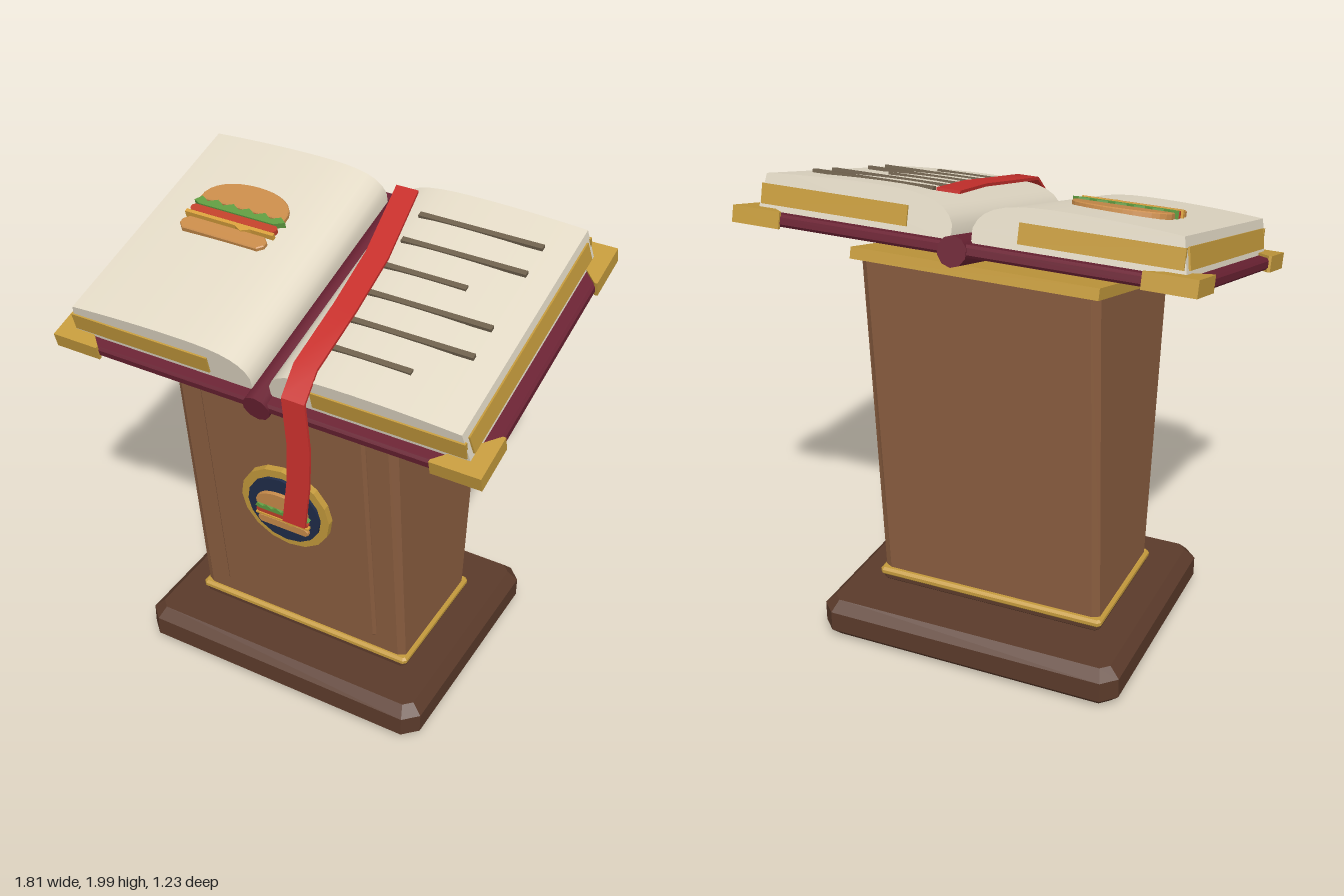
import * as THREE from 'three';
import { toCreasedNormals } from 'three/addons/utils/BufferGeometryUtils.js';

const mat = (color) => new THREE.MeshStandardMaterial({ color, flatShading: false });
const M = {
  darkWood: mat(0x5a3a2a), wood: mat(0x8b5e40), gold: mat(0xc49a3c), cover: mat(0x6a2233),
  page: mat(0xe3dac6), ribbon: mat(0xc8302c), navy: mat(0x202c4a), ink: mat(0x6e604c),
  bun: mat(0xc88b4a), lettuce: mat(0x5f9a40), tomato: mat(0xc0402a), cheese: mat(0xd8a03c),
};

const TILT = 0.27; // slope of the reading top

function add(parent, name, geometry, material, x = 0, y = 0, z = 0) {
  const mesh = new THREE.Mesh(geometry, material);
  mesh.name = name;
  mesh.position.set(x, y, z);
  parent.add(mesh);
  return mesh;
}

const poly = (pts) => new THREE.Shape(pts.map(([x, y]) => new THREE.Vector2(x, y)));

// Rectangle with cut corners
function cutRect(w, h, c) {
  const x = w / 2, y = h / 2;
  return poly([[-x + c, -y], [x - c, -y], [x, -y + c], [x, y - c], [x - c, y], [-x + c, y], [-x, y - c], [-x, -y + c]]);
}

const extrude = (shape, depth, bevel = 0, curveSegments = 8) => new THREE.ExtrudeGeometry(shape, {
  depth: depth - 2 * bevel, bevelEnabled: bevel > 0, bevelSize: bevel, bevelThickness: bevel, bevelSegments: 1, curveSegments,
}).translate(0, 0, bevel);

// Chamfered block standing on y = 0
const slab = (w, h, d, c) => extrude(cutRect(w - 2 * c, d - 2 * c, c * 0.8), h, c).rotateX(-Math.PI / 2);

// Layered sandwich emblem, drawn in xy and raised along z
function emblem() {
  const g = new THREE.Group();
  g.name = 'sandwichEmblem';
  const dome = new THREE.Shape();
  dome.moveTo(-0.19, 0.025);
  dome.bezierCurveTo(-0.2, 0.11, -0.1, 0.15, 0, 0.15);
  dome.bezierCurveTo(0.1, 0.15, 0.2, 0.11, 0.19, 0.025);
  add(g, 'topBun', extrude(dome, 0.028, 0.004), M.bun);
  const zig = [[-0.2, -0.005], [-0.17, -0.018], [0.17, -0.018], [0.21, 0.005]];
  for (let i = 0; i <= 10; i++) zig.push([0.18 - i * 0.036, i % 2 ? 0.005 : 0.026]);
  add(g, 'lettuce', extrude(poly(zig), 0.034), M.lettuce);
  add(g, 'tomato', extrude(cutRect(0.39, 0.036, 0.01), 0.03), M.tomato, 0, -0.038);
  add(g, 'cheese', extrude(poly([[-0.2, -0.076], [0.03, -0.076], [0.065, -0.094], [0.1, -0.076], [0.2, -0.076], [0.2, -0.06], [-0.2, -0.06]]), 0.034), M.cheese);
  add(g, 'bottomBun', extrude(cutRect(0.376, 0.06, 0.02), 0.028, 0.004), M.bun, 0, -0.118);
  return g;
}

function buildStand(root) {
  add(root, 'base', slab(1.31, 0.17, 1.065, 0.042), M.darkWood, 0, 0, -0.0675);
  add(root, 'plinth', slab(0.98, 0.04, 0.58, 0.012), M.darkWood, 0, 0.165, -0.05);
  add(root, 'lowerTrim', slab(1.0, 0.034, 0.6, 0.01), M.gold, 0, 0.193, -0.05);

  // Column flares towards the top and is cut off along the slope
  const col = extrude(cutRect(0.97, 1, 0.03), 1).rotateX(-Math.PI / 2);
  const p = col.attributes.position;
  const { lerp } = THREE.MathUtils;
  for (let i = 0; i < p.count; i++) {
    const t = p.getY(i);
    const z = lerp(lerp(-0.326, -0.416, t), lerp(0.23, 0.378, t), p.getZ(i) + 0.5);
    p.setXYZ(i, p.getX(i), lerp(0.21, 1.56 - 0.277 * z, t), z);
  }
  col.computeVertexNormals();
  add(root, 'column', col, M.wood);

  // Leaning front panel with its medallion
  const front = new THREE.Group();
  front.name = 'frontPanel';
  front.position.set(0, 0.92, 0.314);
  front.rotation.x = 0.12;
  root.add(front);
  add(front, 'panel', extrude(cutRect(0.7, 1.1, 0.005), 0.03, 0.012), M.wood, 0, -0.065, -0.013);
  const disc = (r, h) => new THREE.CylinderGeometry(r, r, h, 16).rotateX(Math.PI / 2);
  const ring = new THREE.Shape().absarc(0, 0, 0.2, 0, Math.PI * 2);
  ring.holes.push(new THREE.Path().absarc(0, 0, 0.16, 0, Math.PI * 2));
  add(front, 'medallionRing', extrude(ring, 0.035), M.gold, 0, 0, 0.01);
  add(front, 'medallionDisc', disc(0.163, 0.045), M.navy, 0, 0, 0.034);
  const badge = emblem();
  badge.scale.setScalar(0.6);
  badge.position.z = 0.055;
  front.add(badge);
}

function buildBook(root) {
  // Everything here is laid flat, then tilted as one
  const book = new THREE.Group();
  book.name = 'tiltedTop';
  book.position.y = 1.6;
  book.rotation.x = TILT;
  root.add(book);

  add(book, 'upperTrim', new THREE.BoxGeometry(1.0, 0.045, 0.896), M.gold, 0, -0.0325, -0.014);
  const spine = new THREE.CylinderGeometry(0.058, 0.058, 1.19, 10).rotateX(Math.PI / 2);
  add(book, 'spine', toCreasedNormals(spine, 0.7), M.cover, 0, 0.06, -0.05);

  for (const s of [1, -1]) {
    add(book, 'cover', slab(0.87, 0.046, 1.18, 0.01), M.cover, s * 0.46, 0.045, -0.05);

    // Triangular metal corners
    for (const e of [1, -1]) {
      const tri = poly([[0, 0], [-s * 0.2, 0], [-s * 0.2, e * 0.012], [-s * 0.012, e * 0.2], [0, e * 0.2]]);
      add(book, 'coverCorner', extrude(tri, 0.064).rotateX(-Math.PI / 2), M.gold, s * 0.905, 0.037, -0.05 + e * 0.598);
    }

    // Page block with a curve into the gutter
    const block = new THREE.Shape();
    block.moveTo(s * 0.04, 0.088);
    block.lineTo(s * 0.84, 0.088);
    block.lineTo(s * 0.815, 0.228);
    block.quadraticCurveTo(s * 0.6, 0.246, s * 0.4, 0.248);
    block.bezierCurveTo(s * 0.2, 0.25, s * 0.07, 0.24, s * 0.04, 0.145);
    const pages = toCreasedNormals(extrude(block, 1.065), 0.5);
    add(book, 'pages', pages, M.page, 0, 0, -0.575);

    // Gilt page edges
    for (const z of [0.49, -0.575])
      add(book, 'giltEdge', new THREE.BoxGeometry(0.61, 0.076, 0.014), M.gold, s * 0.523, 0.152, z);
    add(book, 'giltSide', new THREE.BoxGeometry(0.014, 0.08, 1.01), M.gold, s * 0.829, 0.152, -0.043).rotation.z = s * 0.18;
  }

  // Lines of writing
  for (let i = 0; i < 6; i++) {
    const w = i % 3 === 2 ? 0.34 : 0.51;
    add(book, 'textLine', new THREE.BoxGeometry(w, 0.014, 0.023), M.ink, 0.2 + w / 2, 0.247, -0.412 + i * 0.1455);
  }

  const picture = emblem();
  picture.rotation.x = -Math.PI / 2;
  picture.position.set(-0.46, 0.236, -0.161);
  book.add(picture);
}

// Bookmark: a flat strip bent along a path over the page and down the front
function buildRibbon(root) {
  const path = [[0.095, 1.985, -0.43], [0.16, 1.89, -0.07], [0.178, 1.815, 0.2], [0.188, 1.735, 0.5], [0.195, 1.65, 0.598],
    [0.215, 1.45, 0.598], [0.21, 1.28, 0.598], [0.19, 1.09, 0.598]].map((a) => new THREE.Vector3(...a));
  const n = path.length - 1;
  const geo = new THREE.BoxGeometry(0.095, 0.012, 1, 1, 1, n);
  const p = geo.attributes.position;
  for (let i = 0; i < p.count; i++) {
    const k = Math.round((p.getZ(i) + 0.5) * n);
    const dir = path[Math.min(k + 1, n)].clone().sub(path[Math.max(k - 1, 0)]);
    const up = new THREE.Vector3(0, dir.z, -dir.y).normalize();
    const v = path[k].clone().addScaledVector(up, p.getY(i));
    p.setXYZ(i, v.x + p.getX(i), v.y, v.z);
  }
  add(root, 'ribbon', toCreasedNormals(geo, 0.6), M.ribbon);
}

export function createModel() {
  const root = new THREE.Group();
  root.name = 'lectern';
  buildStand(root);
  buildBook(root);
  buildRibbon(root);
  return root;
}
